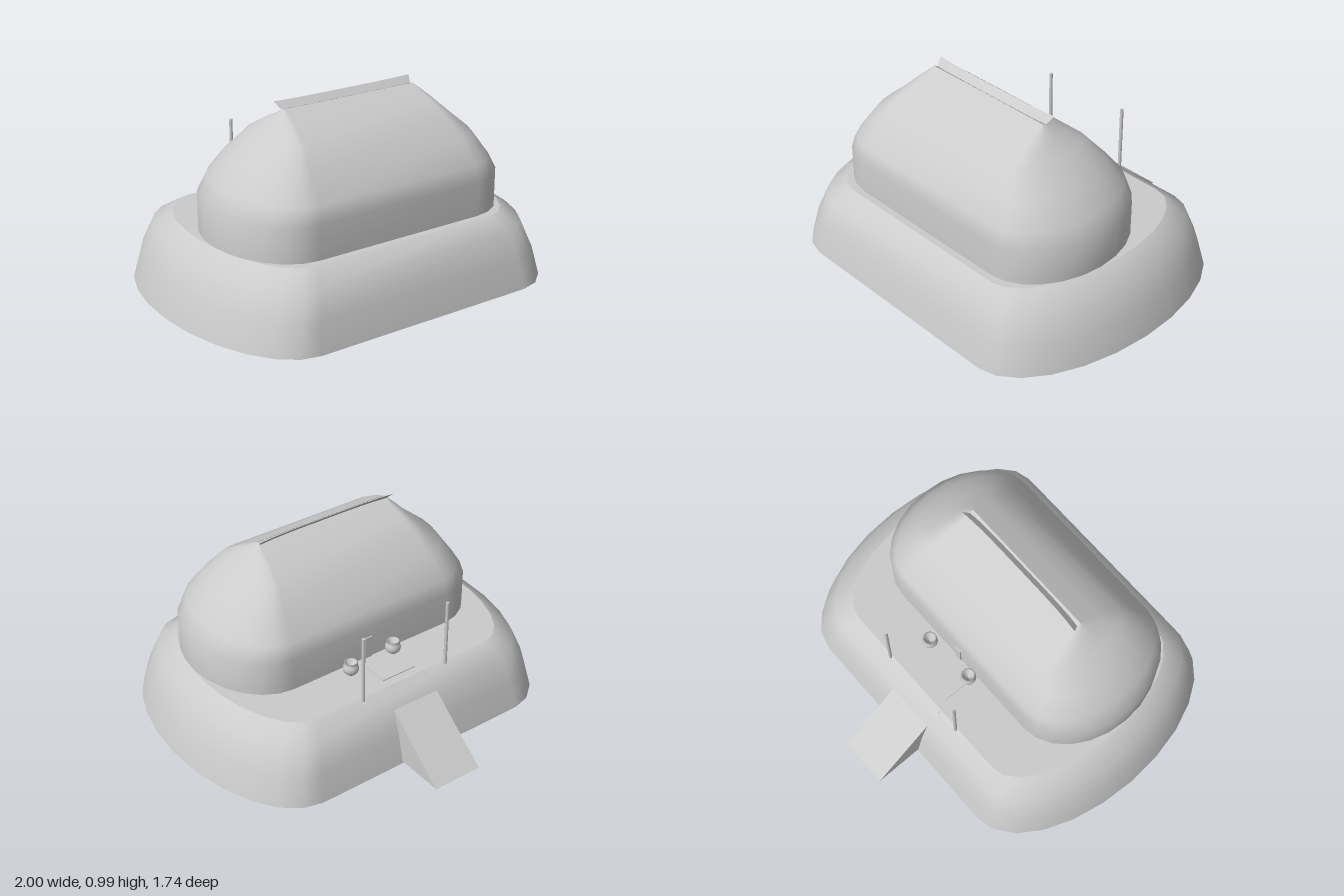
import * as THREE from 'three';

const material = new THREE.MeshStandardMaterial({ color: 0xcccccc, side: THREE.DoubleSide });

function add(group, name, geometry, x = 0, y = 0, z = 0) {
  const mesh = new THREE.Mesh(geometry, material);
  mesh.name = name;
  mesh.position.set(x, y, z);
  group.add(mesh);
  return mesh;
}

// Closed outline: straight front and back (up to +-straight) with elliptical ends.
function outline([, halfWidth, halfDepth, straight], steps = 12) {
  const points = [];
  for (const side of [1, -1]) {
    for (let k = 0; k <= steps; k++) {
      const a = side * (-Math.PI / 2 + (Math.PI * k) / steps);
      points.push([
        side * (straight + (halfWidth - straight) * Math.cos(a)),
        halfDepth * Math.sin(a),
      ]);
    }
  }
  return points;
}

// Skin over stacked outlines; each row is [y, halfWidth, halfDepth, straight].
function loft(rows) {
  const positions = [], index = [];
  const n = outline(rows[0]).length;
  rows.forEach((row, i) => {
    outline(row).forEach(([x, z], j) => {
      positions.push(x, row[0], z);
      if (i === rows.length - 1) return;
      const a = i * n + j, b = i * n + ((j + 1) % n);
      index.push(a, a + n, b, b, a + n, b + n);
    });
  });
  const geometry = new THREE.BufferGeometry();
  geometry.setAttribute('position', new THREE.Float32BufferAttribute(positions, 3));
  geometry.setIndex(index);
  geometry.computeVertexNormals();
  return geometry;
}

// Flat horizontal lid filling one outline.
function lid(row) {
  const shape = new THREE.Shape(outline(row).map(([x, z]) => new THREE.Vector2(x, -z)));
  return new THREE.ShapeGeometry(shape).rotateX(-Math.PI / 2).translate(0, row[0], 0);
}

export function createModel() {
  const model = new THREE.Group();
  model.name = 'hutOnMound';

  // Earth mound, open underneath, with a flat top
  const mound = [
    [0, 1, 0.74, 0.62],
    [0.15, 0.96, 0.707, 0.6],
    [0.295, 0.89, 0.658, 0.57],
    [0.355, 0.8, 0.565, 0.53],
  ];
  add(model, 'moundSides', loft(mound), 0, 0, 0.13);
  add(model, 'moundTop', lid(mound[3]), 0, 0, 0.13);

  // Walls and thatched roof narrowing to a ridge
  add(model, 'hut', loft([
    [0.355, 0.79, 0.42, 0.48],
    [0.53, 0.79, 0.42, 0.48],
    [0.615, 0.73, 0.405, 0.47],
    [0.73, 0.65, 0.315, 0.45],
    [0.835, 0.52, 0.225, 0.42],
    [0.9, 0.455, 0.115, 0.4],
    [0.945, 0.405, 0.025, 0.39],
    [0.957, 0.39, 0.001, 0.389],
  ]), 0, 0, 0.24);

  // Tilted ridge strip with slightly swept ends
  const ridge = new THREE.PlaneGeometry(2, 1, 10, 1);
  const p = ridge.attributes.position;
  for (let i = 0; i < p.count; i++) {
    const t = p.getX(i), top = p.getY(i) > 0;
    const sweep = 0.012 * t ** 4;
    p.setXYZ(i, t * (top ? 0.408 : 0.39), top ? 0.985 : 0.95, (top ? 0.196 : 0.232) - sweep);
  }
  ridge.computeVertexNormals();
  add(model, 'ridgeStrip', ridge);

  // Entrance ramp: sloping face and two triangular sides
  const ramp = new THREE.Group();
  ramp.name = 'ramp';
  model.add(ramp);
  const length = Math.hypot(0.43, 0.345);
  const slope = add(ramp, 'rampSlope', new THREE.PlaneGeometry(0.27, length), 0, 0.184, -0.655);
  slope.rotation.set(-Math.PI / 2 - Math.atan2(0.345, 0.43), 0, 0);
  const triangle = new THREE.Shape([
    new THREE.Vector2(0.44, 0.356),
    new THREE.Vector2(0.44, 0.012),
    new THREE.Vector2(0.87, 0.012),
  ]);
  for (const side of [-1, 1]) {
    const cheek = add(ramp, 'rampSide', new THREE.ShapeGeometry(triangle), side * 0.135, 0, 0);
    cheek.rotation.y = Math.PI / 2;
  }

  // Gate posts beside the ramp
  for (const side of [-1, 1]) {
    add(model, 'gatePost', new THREE.CylinderGeometry(0.009, 0.009, 0.37, 8), side * 0.258, 0.525, -0.445);
  }

  // Doorstep and narrow door
  add(model, 'doorstep', new THREE.BoxGeometry(0.2, 0.008, 0.18), -0.01, 0.356, -0.3);
  add(model, 'door', new THREE.BoxGeometry(0.04, 0.12, 0.05), 0.025, 0.415, -0.162);

  // Clay pots by the door
  const profile = [[0, 0], [0.022, 0], [0.036, 0.015], [0.041, 0.034], [0.036, 0.052],
    [0.029, 0.06], [0.036, 0.07], [0.029, 0.07], [0.026, 0.055], [0, 0.02]]
    .map(([r, y]) => new THREE.Vector2(r, y));
  for (const [x, z] of [[-0.1, -0.222], [0.18, -0.242]]) {
    add(model, 'pot', new THREE.LatheGeometry(profile, 16), x, 0.355, z);
  }

  return model;
}
